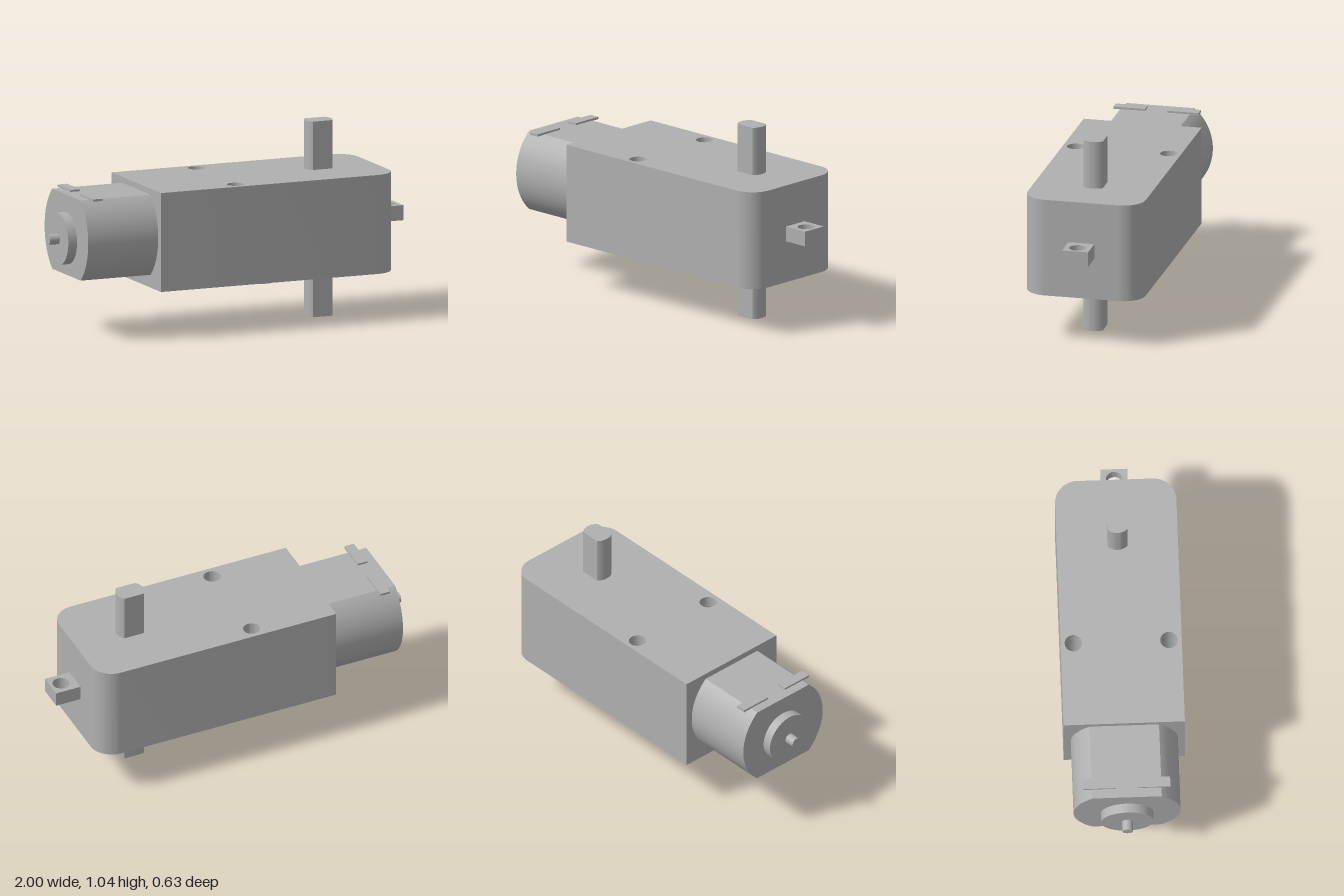
import * as THREE from 'three';
import { toCreasedNormals } from 'three/addons/utils/BufferGeometryUtils.js';

const AXIS_Y = 0.52; // height of the motor axis

// circle of radius r cut by two flats at y = -h and y = h
function flattedCircle(r, h) {
  const a = Math.asin(h / r);
  const s = new THREE.Shape();
  s.absarc(0, 0, r, -a, a, false);
  s.absarc(0, 0, r, Math.PI - a, Math.PI + a, false);
  s.closePath();
  return s;
}

function addHole(shape, x, y, r) {
  const hole = new THREE.Path();
  hole.absarc(x, y, r, 0, Math.PI * 2, true);
  shape.holes.push(hole);
}

function extrude(shape, depth) {
  const g = new THREE.ExtrudeGeometry(shape, { depth, bevelEnabled: false, curveSegments: 24 });
  return toCreasedNormals(g, 0.5);
}

// plan outline raised from y0 to y1
const extrudeUp = (shape, y0, y1) =>
  extrude(shape, y1 - y0).rotateX(-Math.PI / 2).translate(0, y0, 0);

export function createModel() {
  const group = new THREE.Group();
  const grey = new THREE.MeshStandardMaterial({ color: 0xb0b0b0 });
  grey.name = 'grey plastic';

  const add = (name, geometry, x = 0, y = 0, z = 0) => {
    const mesh = new THREE.Mesh(geometry, grey);
    mesh.name = name;
    mesh.position.set(x, y, z);
    group.add(mesh);
    return mesh;
  };

  // gearbox: rounded at the output end, two through holes
  const x0 = -0.495, x1 = 0.86, w = 0.317, r = 0.12;
  const box = new THREE.Shape();
  box.moveTo(x0, -w);
  box.lineTo(x1 - r, -w);
  box.absarc(x1 - r, -w + r, r, -Math.PI / 2, 0, false);
  box.absarc(x1 - r, w - r, r, 0, Math.PI / 2, false);
  box.lineTo(x0, w);
  box.closePath();
  for (const side of [-1, 1]) addHole(box, -0.04, side * 0.25, 0.045);
  add('gearbox', extrudeUp(box, 0.257, 0.783));

  // mounting tab with its hole
  const tab = new THREE.Shape();
  tab.moveTo(x1, -0.07);
  tab.lineTo(1, -0.07);
  tab.lineTo(1, 0.07);
  tab.lineTo(x1, 0.07);
  tab.closePath();
  addHole(tab, 0.94, 0, 0.045);
  add('mountingTab', extrudeUp(tab, 0.48, 0.56));

  // output shaft: two flats, one stub above and one below the gearbox
  const shaft = flattedCircle(0.075, 0.052);
  add('outputShaftTop', extrudeUp(shaft, 0.783, 1.04), 0.545);
  add('outputShaftBottom', extrudeUp(shaft, 0, 0.257), 0.545);

  // locating peg underneath
  add('locatingPeg', new THREE.CylinderGeometry(0.055, 0.055, 0.057, 40), 0.225, 0.2285, 0);

  // motor can with flat top and bottom
  const can = extrude(flattedCircle(0.28, 0.213), 0.4).rotateY(Math.PI / 2);
  add('motorCan', can, -0.895, 0.538, 0);

  // rear bearing boss and motor shaft
  const rod = (radius, length) =>
    new THREE.CylinderGeometry(radius, radius, length, 48).rotateZ(Math.PI / 2);
  add('bearingBoss', rod(0.137, 0.05), -0.92, AXIS_Y, 0);
  add('motorShaft', rod(0.028, 0.055), -0.9725, AXIS_Y, 0);

  // terminals on the motor
  for (const side of [-1, 1]) {
    add('terminal', new THREE.BoxGeometry(0.055, 0.012, 0.17), -0.8175, 0.755, side * 0.144);
  }
  return group;
}
